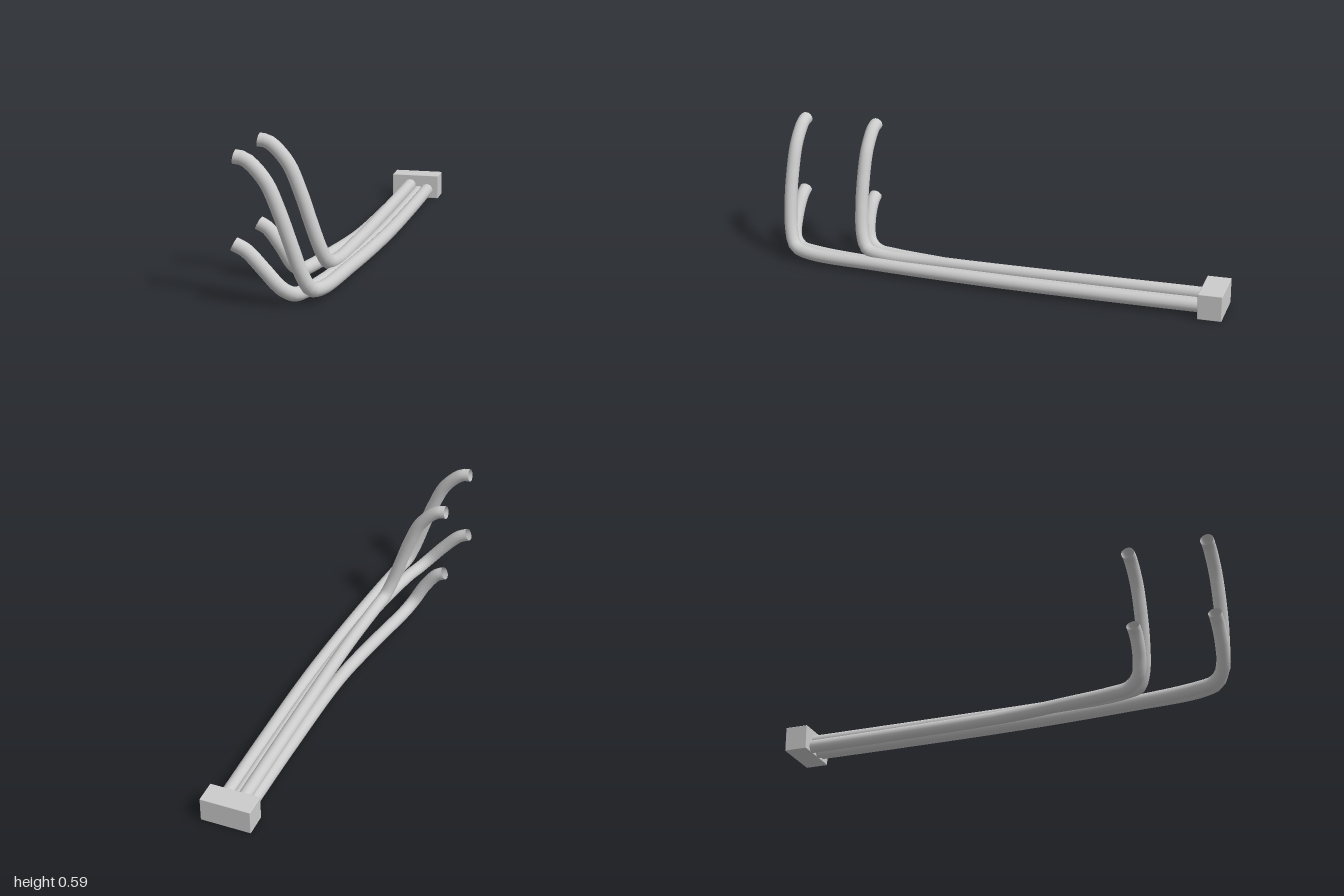
import * as THREE from 'three';
import { RoundedBoxGeometry } from 'three/addons/geometries/RoundedBoxGeometry.js';

const RADIUS = 0.028;

// Centre line of each bent pipe, from its open end back into the block
const PIPES = {
  frontUpperPipe: [
    [-0.22, 0.565, 0.955], [-0.18, 0.557, 0.955], [-0.103, 0.48, 0.957], [-0.05, 0.365, 0.957],
    [-0.01, 0.25, 0.953], [0.03, 0.125, 0.938], [0.056, 0.062, 0.91], [0.078, 0.045, 0.84],
    [0.115, 0.042, 0.5], [0.15, 0.042, 0], [0.161, 0.042, -0.5], [0.163, 0.042, -0.92],
  ],
  frontLowerPipe: [
    [-0.22, 0.235, 0.971], [-0.175, 0.213, 0.971], [-0.105, 0.14, 0.968], [-0.045, 0.07, 0.953],
    [-0.008, 0.037, 0.91], [0.02, 0.031, 0.83], [0.075, 0.031, 0.5], [0.11, 0.031, 0],
    [0.12, 0.031, -0.5], [0.122, 0.031, -0.92],
  ],
  rearUpperPipe: [
    [-0.22, 0.565, 0.625], [-0.18, 0.557, 0.625], [-0.104, 0.48, 0.627], [-0.053, 0.365, 0.627],
    [-0.015, 0.25, 0.623], [0.022, 0.135, 0.608], [0.042, 0.08, 0.58], [0.055, 0.063, 0.51],
    [0.072, 0.062, 0.2], [0.08, 0.062, -0.3], [0.083, 0.062, -0.92],
  ],
  rearLowerPipe: [
    [-0.22, 0.235, 0.636], [-0.185, 0.217, 0.637], [-0.13, 0.145, 0.634], [-0.09, 0.07, 0.615],
    [-0.067, 0.037, 0.57], [-0.05, 0.031, 0.49], [-0.015, 0.031, 0.3], [0.03, 0.031, 0],
    [0.052, 0.031, -0.5], [0.06, 0.031, -0.92],
  ],
};

export function createModel() {
  const model = new THREE.Group();
  const grey = new THREE.MeshStandardMaterial({ color: 0xcccccc });
  const pipeGrey = new THREE.MeshStandardMaterial({ color: 0xcccccc, side: THREE.DoubleSide });

  // Hollow pipes, open at their bent ends
  for (const [name, points] of Object.entries(PIPES)) {
    const path = new THREE.CatmullRomCurve3(points.map((p) => new THREE.Vector3(...p)));
    const pipe = new THREE.Mesh(new THREE.TubeGeometry(path, 90, RADIUS, 16), pipeGrey);
    pipe.name = name;
    model.add(pipe);
  }

  // Block that gathers the pipes at the back
  const block = new THREE.Mesh(new RoundedBoxGeometry(0.217, 0.108, 0.1, 2, 0.003), grey);
  block.position.set(0.1085, 0.057, -0.95);
  block.name = 'collectorBlock';
  model.add(block);

  return model;
}
